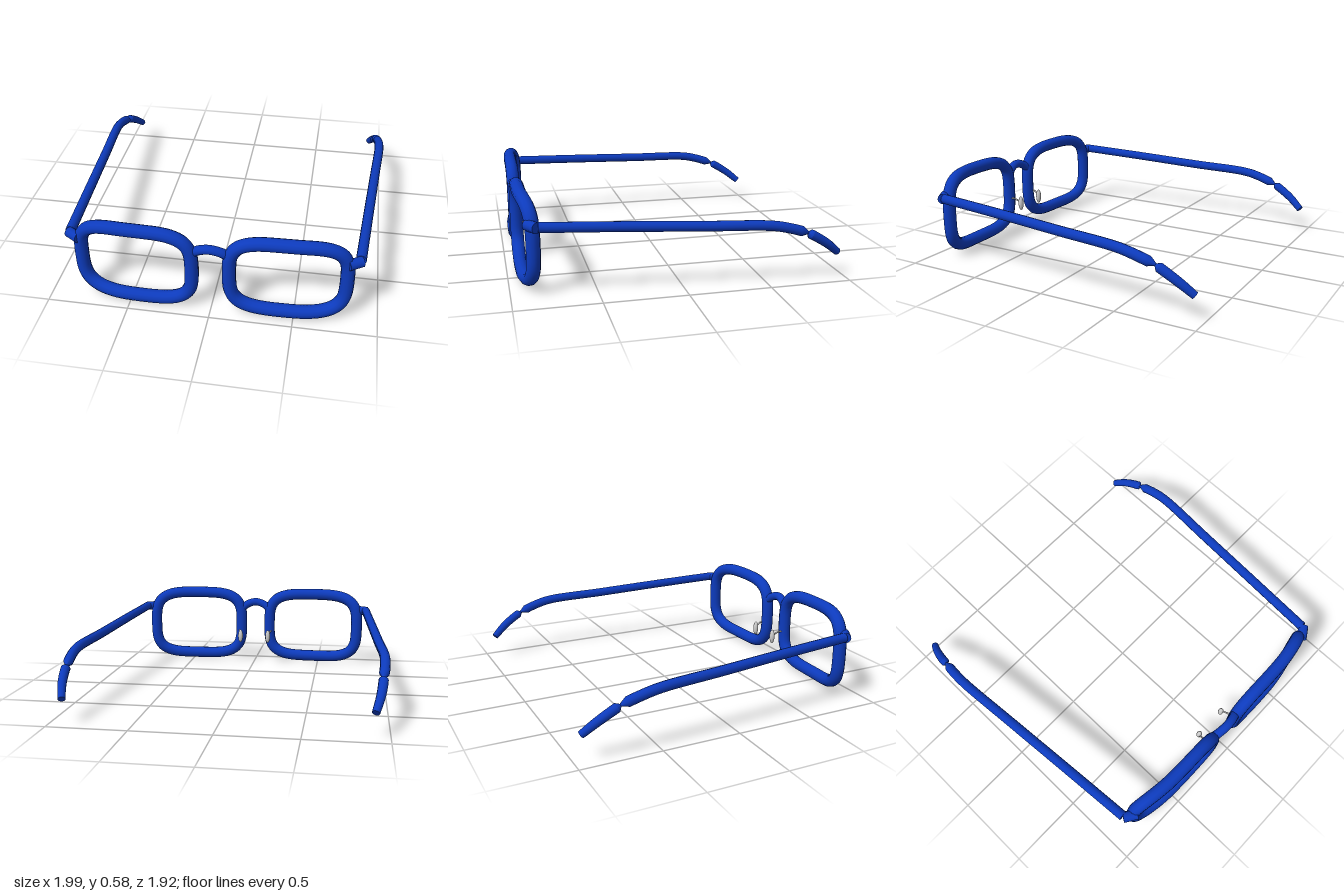
import * as THREE from 'three';
import { toCreasedNormals } from 'three/addons/utils/BufferGeometryUtils.js';

const V = (x, y, z) => new THREE.Vector3(x, y, z);
const frameBlue = new THREE.MeshStandardMaterial({ color: 0x0d3bbd });
const padGrey = new THREE.MeshStandardMaterial({ color: 0xcfcfcf });

// Closed rod along a smooth path; radiusAt(u) sets its thickness, ends are flat caps
function rod(points, radiusAt, rings, sides = 12) {
  const curve = new THREE.CatmullRomCurve3(points);
  const geo = new THREE.TubeGeometry(curve, rings, 1, sides, false);
  const pos = geo.attributes.position;
  const v = new THREE.Vector3();
  for (let i = 0; i <= rings; i++) {
    const centre = curve.getPointAt(i / rings);
    const u = i === 1 ? 0 : i === rings - 1 ? 1 : i / rings;
    const target = curve.getPointAt(u);
    const r = i === 0 || i === rings ? 0 : radiusAt(u);
    for (let j = 0; j <= sides; j++) {
      const k = i * (sides + 1) + j;
      v.fromBufferAttribute(pos, k).sub(centre).multiplyScalar(r).add(target);
      pos.setXYZ(k, v.x, v.y, v.z);
    }
  }
  return toCreasedNormals(geo, 0.8);
}

function mesh(name, geo, material) {
  const m = new THREE.Mesh(geo, material);
  m.name = name;
  return m;
}

// Rounded-rectangle rim, swept back toward the temple
function rimGeometry(s) {
  const points = [];
  const soft = (c) => Math.sign(c) * Math.pow(Math.abs(c), 2 / 3.6);
  for (let i = 0; i < 48; i++) {
    const a = ((i + 0.5) / 48) * Math.PI * 2;
    const x = 0.455 + 0.343 * soft(Math.cos(a));
    const y = 0.2885 + 0.2465 * soft(Math.sin(a));
    const bend = Math.max(0, (x - 0.42) / 0.38);
    points.push(V(s * x, y, 0.912 - 0.052 * bend * bend));
  }
  return new THREE.TubeGeometry(new THREE.CatmullRomCurve3(points, true), 96, 0.042, 12, true);
}

function side(s) {
  const g = new THREE.Group();
  g.name = s > 0 ? 'leftSide' : 'rightSide';
  const P = (x, y, z) => V(s * x, y, z);

  g.add(mesh('rim', rimGeometry(s), frameBlue));

  // Short stub joining rim and temple
  g.add(mesh('hinge', rod([P(0.795, 0.423, 0.89), P(0.872, 0.423, 0.842)], () => 0.033, 6), frameBlue));

  // Temple arm, narrowing to a neck at its back end
  const arm = [P(0.865, 0.425, 0.835), P(0.897, 0.409, 0.4), P(0.935, 0.387, -0.1),
    P(0.965, 0.37, -0.5), P(0.964, 0.347, -0.61), P(0.953, 0.307, -0.735)];
  g.add(mesh('temple', rod(arm, (u) => (u > 0.995 ? 0.008 : 0.031), 70), frameBlue));

  // Ear tip, curving down and inward
  const tip = [P(0.953, 0.307, -0.733), P(0.948, 0.275, -0.79),
    P(0.934, 0.223, -0.87), P(0.909, 0.158, -0.95)];
  g.add(mesh('earTip', rod(tip, (u) => (u < 0.03 ? 0.008 : 0.029 - 0.006 * u * u), 24), frameBlue));

  // Nose pad on its wire
  const pad = mesh('nosePad', new THREE.SphereGeometry(1, 20, 14), padGrey);
  pad.scale.set(0.019, 0.05, 0.018);
  pad.position.copy(P(0.108, 0.205, 0.812));
  g.add(pad);
  g.add(mesh('padWire', rod([P(0.128, 0.24, 0.885), P(0.12, 0.235, 0.85), P(0.11, 0.21, 0.812)],
    () => 0.006, 10, 8), padGrey));
  return g;
}

export function createModel() {
  const model = new THREE.Group();
  model.name = 'eyeglasses';
  model.add(side(1), side(-1));

  // Arched bridge between the rims
  const arch = [V(-0.11, 0.41, 0.905), V(-0.065, 0.445, 0.918), V(0, 0.463, 0.925),
    V(0.065, 0.445, 0.918), V(0.11, 0.41, 0.905)];
  model.add(mesh('bridge', rod(arch, () => 0.029, 24), frameBlue));
  return model;
}
